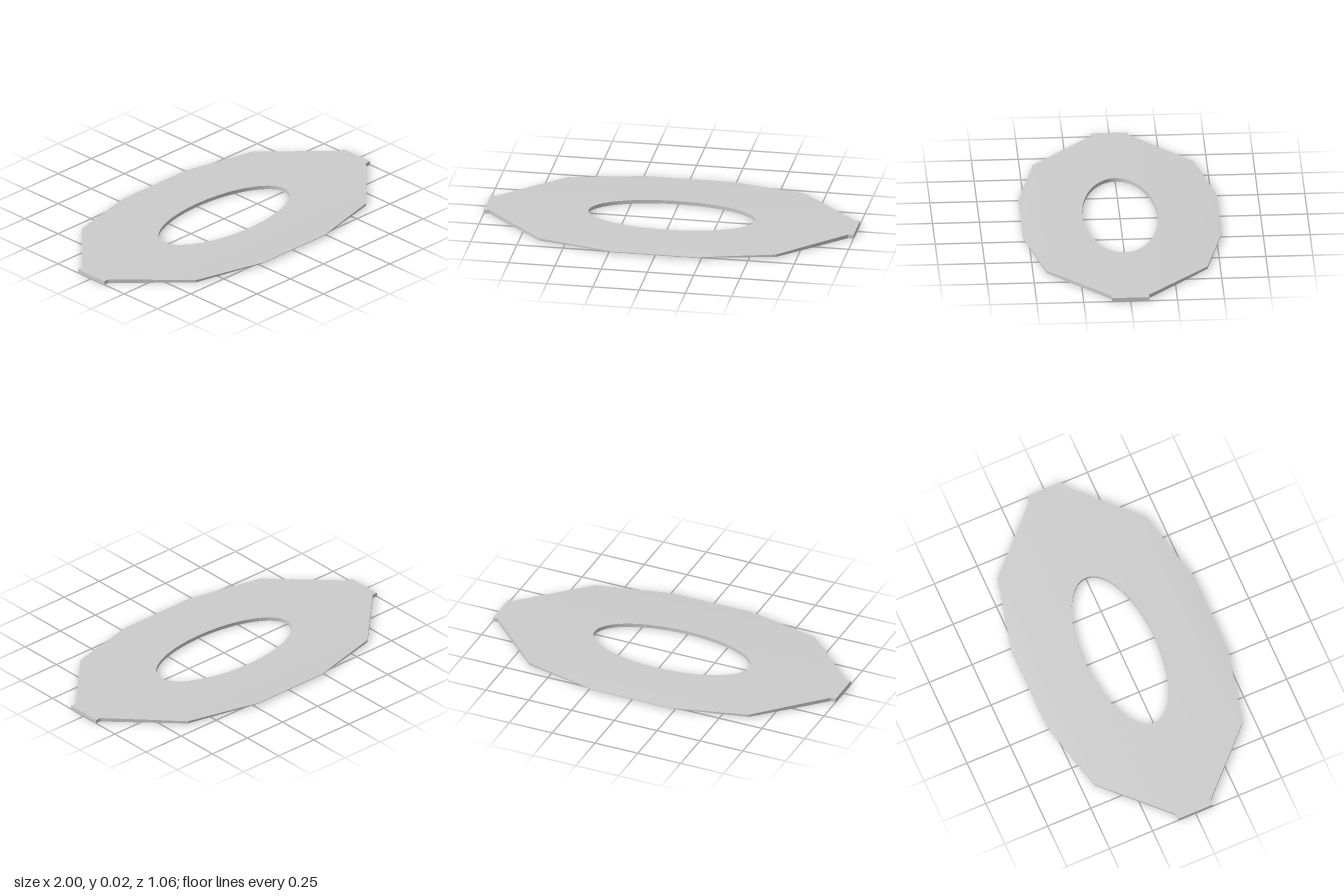
import * as THREE from 'three';
import { toCreasedNormals } from 'three/addons/utils/BufferGeometryUtils.js';

const MID = 0.0105; // height of the plate's middle plane
const HOLE = [0.45, 0.2]; // radii of the oval opening
const RINGS = 8;

// Half thickness: thickest along the long axis, thin at the long edges
const profile = [[0, 0.0105], [0.17, 0.01], [0.31, 0.0085], [0.43, 0.0064], [0.5, 0.0035], [0.53, 0.0014]];
function halfThickness(z) {
  const a = Math.min(Math.abs(z), 0.53);
  const i = Math.max(1, profile.findIndex((p) => a <= p[0]));
  const [z0, h0] = profile[i - 1], [z1, h1] = profile[i];
  return h0 + ((h1 - h0) * (a - z0)) / (z1 - z0);
}

// Faceted outline with a small square tab at each end
function outline() {
  const quarter = [[1, 0.1], [0.97, 0.1], [0.64, 0.43], [0.23, 0.53]];
  const half = [...quarter, ...quarter.map(([x, z]) => [-x, z]).reverse()];
  const corners = [...half, ...half.map(([x, z]) => [-x, -z])];
  const points = [];
  corners.forEach(([x, z], i) => {
    const [nx, nz] = corners[(i + 1) % corners.length];
    const n = Math.max(1, Math.round(Math.hypot(nx - x, nz - z) / 0.035));
    for (let k = 0; k < n; k++) points.push([x + ((nx - x) * k) / n, z + ((nz - z) * k) / n]);
  });
  return points;
}

// Closed cross-section loops: over the top from hole to rim, back along the bottom
function plateGeometry() {
  const points = outline();
  const positions = [], index = [];
  const loop = 2 * (RINGS + 1);
  for (const [x, z] of points) {
    const t = Math.atan2(z / HOLE[1], x / HOLE[0]);
    const hx = HOLE[0] * Math.cos(t), hz = HOLE[1] * Math.sin(t);
    for (let j = 0; j < loop; j++) {
      const top = j <= RINGS;
      const s = (top ? j : loop - 1 - j) / RINGS;
      const px = hx + (x - hx) * s, pz = hz + (z - hz) * s;
      positions.push(px, MID + (top ? 1 : -1) * halfThickness(pz), pz);
    }
  }
  for (let i = 0; i < points.length; i++) {
    const next = (i + 1) % points.length;
    for (let j = 0; j < loop; j++) {
      const k = (j + 1) % loop;
      const a = i * loop + j, b = i * loop + k, c = next * loop + k, d = next * loop + j;
      index.push(a, c, b, a, d, c);
    }
  }
  const geometry = new THREE.BufferGeometry();
  geometry.setAttribute('position', new THREE.Float32BufferAttribute(positions, 3));
  geometry.setIndex(index);
  return toCreasedNormals(geometry, Math.PI / 7);
}

export function createModel() {
  const group = new THREE.Group();
  group.name = 'ovalHolePlate';
  const plate = new THREE.Mesh(plateGeometry(), new THREE.MeshStandardMaterial({ color: 0xcccccc }));
  plate.name = 'plate';
  group.add(plate);
  return group;
}
